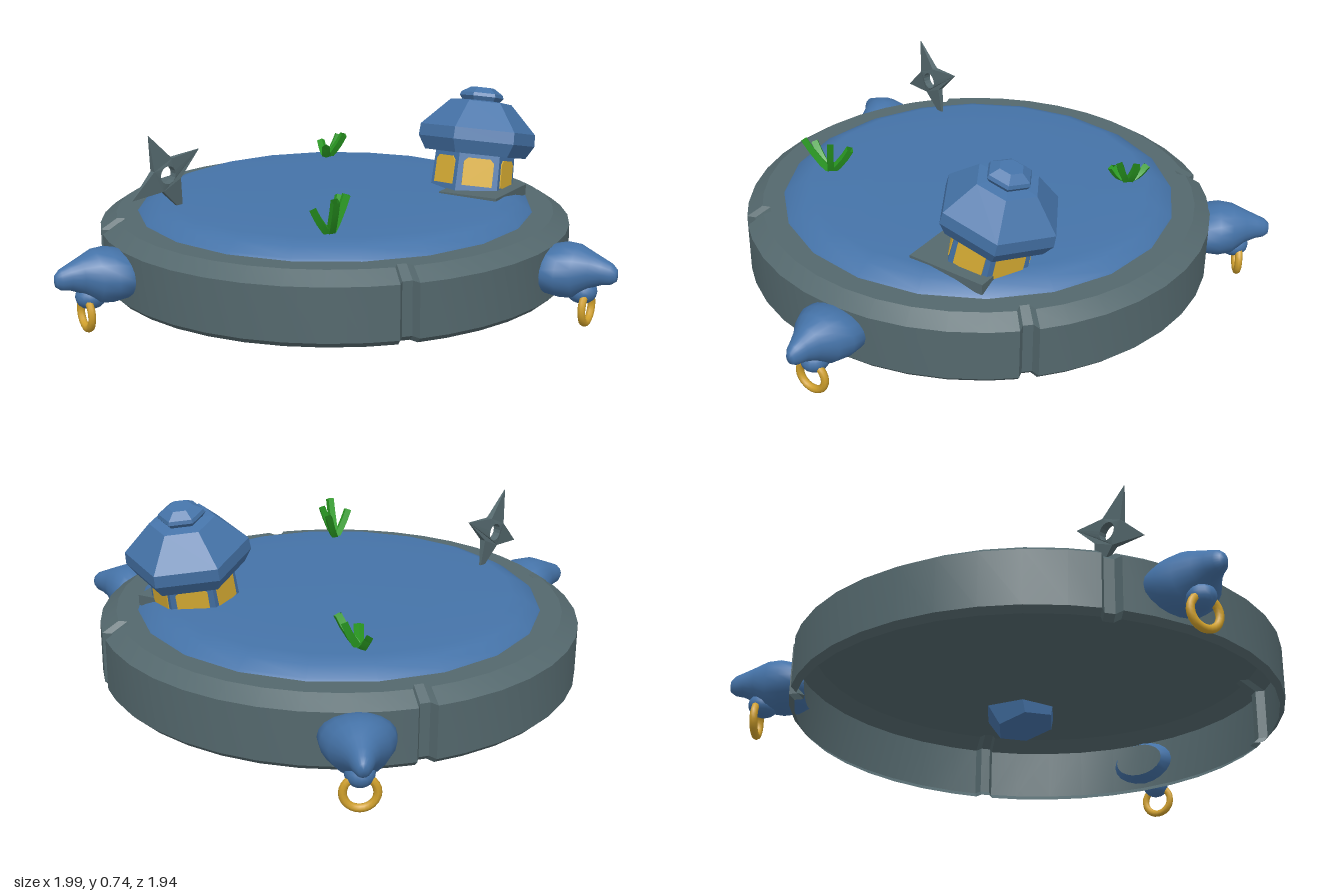
import * as THREE from 'three';
import { toCreasedNormals, mergeVertices } from 'three/addons/utils/BufferGeometryUtils.js';

const material = (name, color, extra = {}) => {
  const m = new THREE.MeshStandardMaterial({ color, ...extra });
  m.name = name;
  return m;
};

export function createModel() {
  const stone = material('stone', 0x54686d, { side: THREE.DoubleSide });
  const blue = material('blue', 0x4573a8);
  const gold = material('gold', 0xd0a02c);
  const glow = material('windowYellow', 0xdcb035);
  const green = material('green', 0x2a9c22, { side: THREE.DoubleSide });

  const model = new THREE.Group();
  model.name = 'pond';
  const add = (parent, name, geometry, mat, x = 0, y = 0, z = 0) => {
    const mesh = new THREE.Mesh(geometry, mat);
    mesh.name = name;
    mesh.position.set(x, y, z);
    parent.add(mesh);
    return mesh;
  };
  const group = (parent, name, x = 0, y = 0, z = 0) => {
    const g = new THREE.Group();
    g.name = name;
    g.position.set(x, y, z);
    parent.add(g);
    return g;
  };
  const profile = (pts) => pts.map(([x, y]) => new THREE.Vector2(x, y));
  const basin = group(model, 'basin', -0.12, 0, 0);

  // Hollow stone basin, with four notches cut into its rim
  const rimPoints = profile([[0.86, 0.07], [0.88, 0.09], [0.88, 0.28], [0.82, 0.32], [0.73, 0.32], [0, 0.32]]);
  const steps = [];
  for (let a = 0; a < 360; a += 9) {
    if (a % 90 === 45) {
      for (const [offset, cut] of [[-2.2, 0], [-1.2, 0.03], [1.2, 0.03], [2.2, 0]]) steps.push([a + offset, cut]);
    } else steps.push([a, 0]);
  }
  steps.push([360, 0]);
  const rim = new THREE.LatheGeometry(rimPoints, steps.length - 1);
  steps.forEach(([deg, cut], i) => rimPoints.forEach((p, j) => {
    const a = THREE.MathUtils.degToRad(deg);
    const r = p.x - (j < 4 ? cut : 0);
    rim.attributes.position.setXYZ(i * rimPoints.length + j, r * Math.sin(a), p.y, r * Math.cos(a));
  }));
  add(basin, 'stoneBasin', toCreasedNormals(rim, 0.4), stone);

  // Gently domed water
  const water = new THREE.LatheGeometry(
    profile([[0.75, 0.31], [0.735, 0.328], [0.69, 0.355], [0.64, 0.373], [0.4, 0.378], [0, 0.38]]), 20);
  add(basin, 'water', water, blue);

  // Animal heads holding rings: stations are [distance, half width, top, bottom]
  const stations = [
    [1.112, 0, 0.205, 0.205], [1.108, 0.016, 0.225, 0.18], [1.09, 0.03, 0.242, 0.167],
    [1.06, 0.042, 0.255, 0.162], [1.02, 0.062, 0.272, 0.145], [0.97, 0.098, 0.293, 0.105],
    [0.92, 0.122, 0.294, 0.1], [0.87, 0.128, 0.28, 0.11], [0.83, 0.1, 0.26, 0.13],
  ];
  const sides = 20;
  let headShape = new THREE.CylinderGeometry(1, 1, 1, sides, stations.length - 1, true);
  stations.forEach(([d, w, top, bottom], row) => {
    for (let i = 0; i <= sides; i++) {
      const a = (i / sides) * Math.PI * 2;
      headShape.attributes.position.setXYZ(row * (sides + 1) + i,
        d, (top + bottom) / 2 + Math.cos(a) * (top - bottom) / 2, w * Math.sin(a));
    }
  });
  headShape.deleteAttribute('uv');
  headShape.deleteAttribute('normal');
  headShape = mergeVertices(headShape, 1e-5);
  headShape.computeVertexNormals();
  const jawShape = new THREE.SphereGeometry(1, 16, 10);
  const ringShape = new THREE.TorusGeometry(0.055, 0.014, 8, 24).rotateY(Math.PI / 2);
  for (let k = 0; k < 3; k++) {
    const head = group(basin, 'animalHead');
    head.rotation.y = (k * Math.PI * 2) / 3;
    add(head, 'face', headShape, blue);
    add(head, 'jaw', jawShape, blue, 0.985, 0.128, 0).scale.set(0.055, 0.045, 0.05);
    add(head, 'ring', ringShape, gold, 1.005, 0.07, 0);
  }

  // Tilted six-sided lantern, half sunk in the water
  const lantern = group(model, 'lantern', 0.3, 0.54, -0.365);
  lantern.rotation.x = -0.23;
  const hex = (pts) => toCreasedNormals(new THREE.LatheGeometry(profile(pts), 6), 0.1);
  add(lantern, 'roof', hex([[0, -0.055], [0.195, -0.055], [0.225, -0.005], [0.222, 0.04], [0.118, 0.145], [0.07, 0.15]]), blue);
  add(lantern, 'finial', hex([[0.07, 0.145], [0.085, 0.165], [0.08, 0.178], [0.045, 0.2], [0, 0.2]]), blue);
  add(lantern, 'body', hex([[0, -0.29], [0.12, -0.29], [0.158, -0.2], [0.152, -0.05]]), blue);
  const pane = new THREE.Shape(profile([
    [-0.057, -0.055], [0.057, -0.055], [0.057, 0.035], [0.042, 0.05], [-0.042, 0.05], [-0.057, 0.035]]));
  const paneShape = new THREE.ExtrudeGeometry(pane, { depth: 0.008, bevelEnabled: false });
  for (let k = 0; k < 6; k++) {
    const holder = group(lantern, 'windowSide');
    holder.rotation.y = Math.PI / 6 + (k * Math.PI) / 3;
    add(holder, 'window', paneShape, glow, 0, -0.12, 0.13).rotation.x = -0.03;
  }
  // Stone slab that breaks the surface beside the lantern
  add(model, 'slab', new THREE.BoxGeometry(0.23, 0.04, 0.3), stone, 0.37, 0.358, -0.27).rotation.x = -0.04;

  // Four-pointed throwing star stuck in the water
  const starOutline = [];
  for (let i = 0; i < 8; i++) {
    const a = THREE.MathUtils.degToRad(65 + i * 45);
    const r = i % 2 ? 0.062 : 0.168;
    starOutline.push([r * Math.cos(a), r * Math.sin(a)]);
  }
  const star = new THREE.Shape(profile(starOutline));
  star.holes.push(new THREE.Path().absarc(0, 0, 0.033, 0, Math.PI * 2, true));
  const starShape = new THREE.ExtrudeGeometry(star, { depth: 1, bevelEnabled: false, curveSegments: 8 });
  const sp = starShape.attributes.position;
  for (let i = 0; i < sp.count; i++) {
    const thickness = 0.038 * Math.max(0.08, 1 - Math.hypot(sp.getX(i), sp.getY(i)) / 0.16);
    sp.setZ(i, (sp.getZ(i) - 0.5) * thickness);
  }
  starShape.computeVertexNormals();
  add(model, 'throwingStar', starShape, stone, -0.53, 0.495, 0.51).rotation.y = -1.855;

  // Tufts of water grass: a base point and the tips of the blades
  const tufts = [
    [[-0.43, 0.365, -0.475], [[-0.35, 0.472, -0.48], [-0.4, 0.46, -0.525], [-0.485, 0.425, -0.525], [-0.4, 0.425, -0.42]]],
    [[0.145, 0.365, 0.51], [[0.13, 0.465, 0.595], [0.205, 0.505, 0.58], [0.185, 0.5, 0.47], [0.13, 0.48, 0.42]]],
  ];
  for (const [base, tips] of tufts) {
    const tuft = group(model, 'grassTuft');
    const foot = new THREE.Vector3(...base);
    for (const t of tips) {
      const tip = new THREE.Vector3(...t);
      const bend = foot.clone().lerp(tip, 0.55).add(new THREE.Vector3(0, -0.02, 0));
      const blade = new THREE.TubeGeometry(new THREE.QuadraticBezierCurve3(foot, bend, tip), 3, 0.017, 4);
      add(tuft, 'blade', toCreasedNormals(blade, 0.5), green);
    }
  }
  return model;
}
